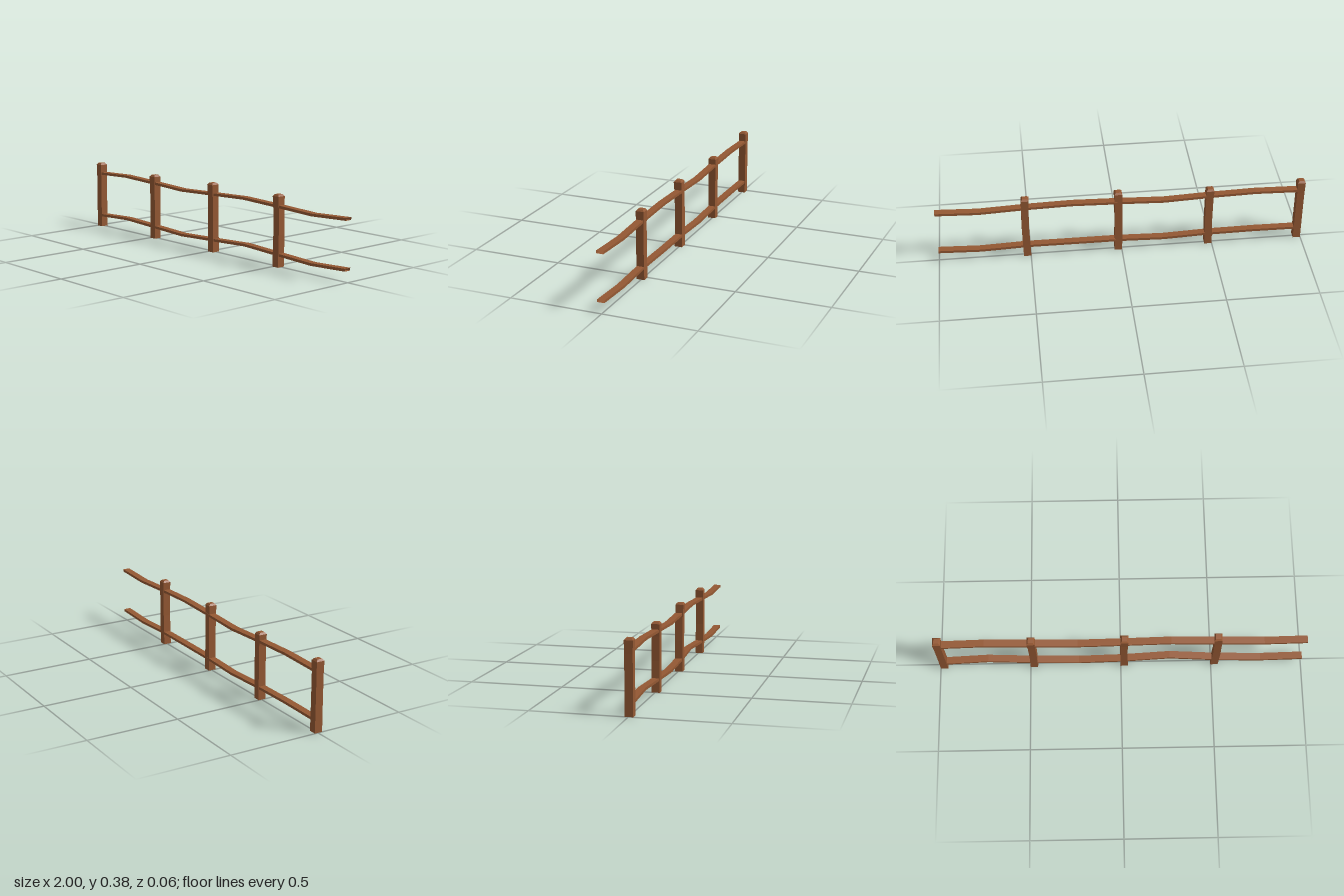
import * as THREE from 'three';

// Open rectangular skin through a list of four-cornered rings
function skin(rings, cap) {
  const pos = [];
  const quad = (a, b, c, d) => [a, b, c, a, c, d].forEach(p => pos.push(...p));
  for (let i = 0; i < rings.length - 1; i++) {
    for (let k = 0; k < 4; k++) {
      const n = (k + 1) % 4;
      quad(rings[i][k], rings[i][n], rings[i + 1][n], rings[i + 1][k]);
    }
  }
  if (cap) quad(...rings[rings.length - 1]);
  const g = new THREE.BufferGeometry();
  g.setAttribute('position', new THREE.Float32BufferAttribute(pos, 3));
  g.computeVertexNormals();
  return g;
}

// Corner signs, counter-clockwise seen from the end of the sweep
const corners = [[-1, 1], [1, 1], [1, -1], [-1, -1]];

// Post: stations of [y, x offset, z offset, size factor], closed on top only
function postGeometry(height, bend, topZ) {
  const stations = [
    [0, 0, 0, 1],
    [height * 0.45, bend, 0, 0.97],
    [height * 0.8, bend * 0.6, topZ * 0.3, 0.97],
    [height - 0.01, 0, topZ, 1.04],
    [height, 0, topZ, 0.65],
  ];
  return skin(stations.map(([y, x, z, s]) =>
    corners.map(([a, b]) => [x + a * 0.0205 * s, y, 0.003 + z + b * 0.0215 * s])), true);
}

// Rail: centre points of [x, y, z], open at both ends
function railGeometry(points) {
  return skin(points.map(([x, y, z]) =>
    corners.map(([a, b]) => [x, y + a * 0.007, z + b * 0.0195])), false);
}

export function createModel() {
  const model = new THREE.Group();
  model.name = 'fence';
  const wood = new THREE.MeshStandardMaterial({ color: 0x945833, flatShading: true, side: THREE.DoubleSide });
  wood.name = 'brown wood';

  const add = (name, geometry, x = 0) => {
    const mesh = new THREE.Mesh(geometry, wood);
    mesh.name = name;
    mesh.position.x = x;
    model.add(mesh);
  };

  // Posts: x, height, sideways bend, forward lean of the top
  [
    [-0.979, 0.38, 0, 0],
    [-0.48, 0.365, 0.003, 0],
    [0.019, 0.38, -0.002, 0.004],
    [0.519, 0.38, 0.004, 0],
  ].forEach(([x, h, bend, lean], i) => add('post' + (i + 1), postGeometry(h, bend, lean), x));

  // Gently waving rails, with a backward bow between the middle posts
  const wave = [0, 0.009, 0.001, -0.01];
  const rail = (y, bows) => railGeometry(bows.map((z, i) =>
    [i === 8 ? 1 : -0.98 + i * 0.25, y + wave[i % 4], z]));
  add('upperRail', rail(0.318, [0.003, 0, 0.002, 0.002, 0.002, 0, 0.003, 0.003, 0.003]));
  add('lowerRail', rail(0.066, [0.003, -0.005, 0.002, 0.003, 0.001, -0.0095, 0.002, 0.004, 0.003]));
  return model;
}
